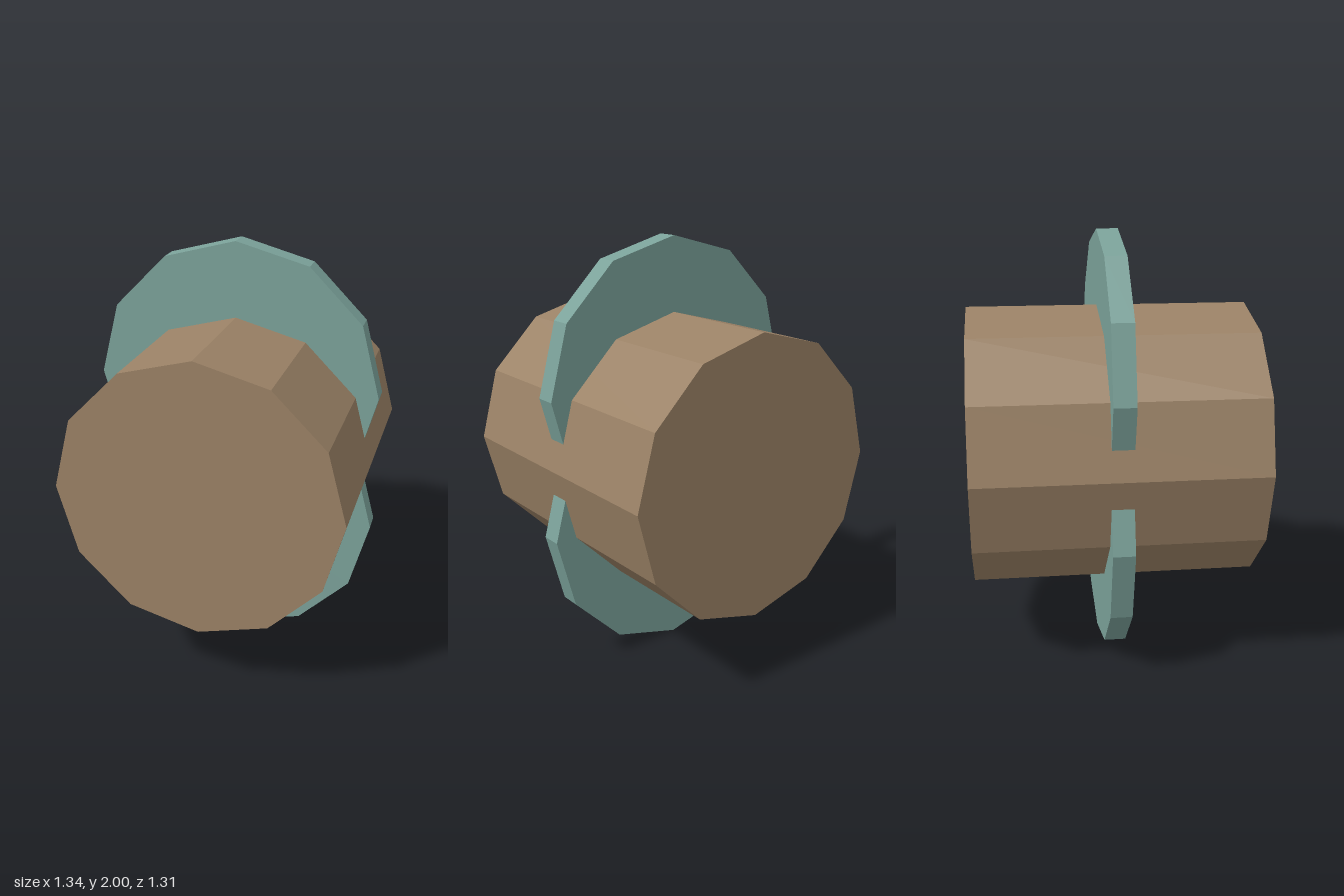
import * as THREE from 'three';

const material = (name, color) => {
  const m = new THREE.MeshStandardMaterial({ color, flatShading: true });
  m.name = name;
  return m;
};

// Twelve-sided drum lying along z
function drum(name, radius, length, y, mat) {
  const geometry = new THREE.CylinderGeometry(radius, radius, length, 12).rotateX(Math.PI / 2);
  const mesh = new THREE.Mesh(geometry, mat);
  mesh.name = name;
  mesh.position.y = y;
  return mesh;
}

export function createModel() {
  const model = new THREE.Group();
  model.name = 'drumWithDiscs';
  const brown = material('brown', 0x9b8266);
  const teal = material('teal', 0x7ba29a);

  // Thick central barrel
  model.add(drum('barrel', 0.653, 1.306, 1, brown));

  // Thin discs rising above and dropping below the barrel
  model.add(drum('upperDisc', 0.67, 0.1, 1.33, teal));
  model.add(drum('lowerDisc', 0.67, 0.1, 0.67, teal));
  return model;
}
